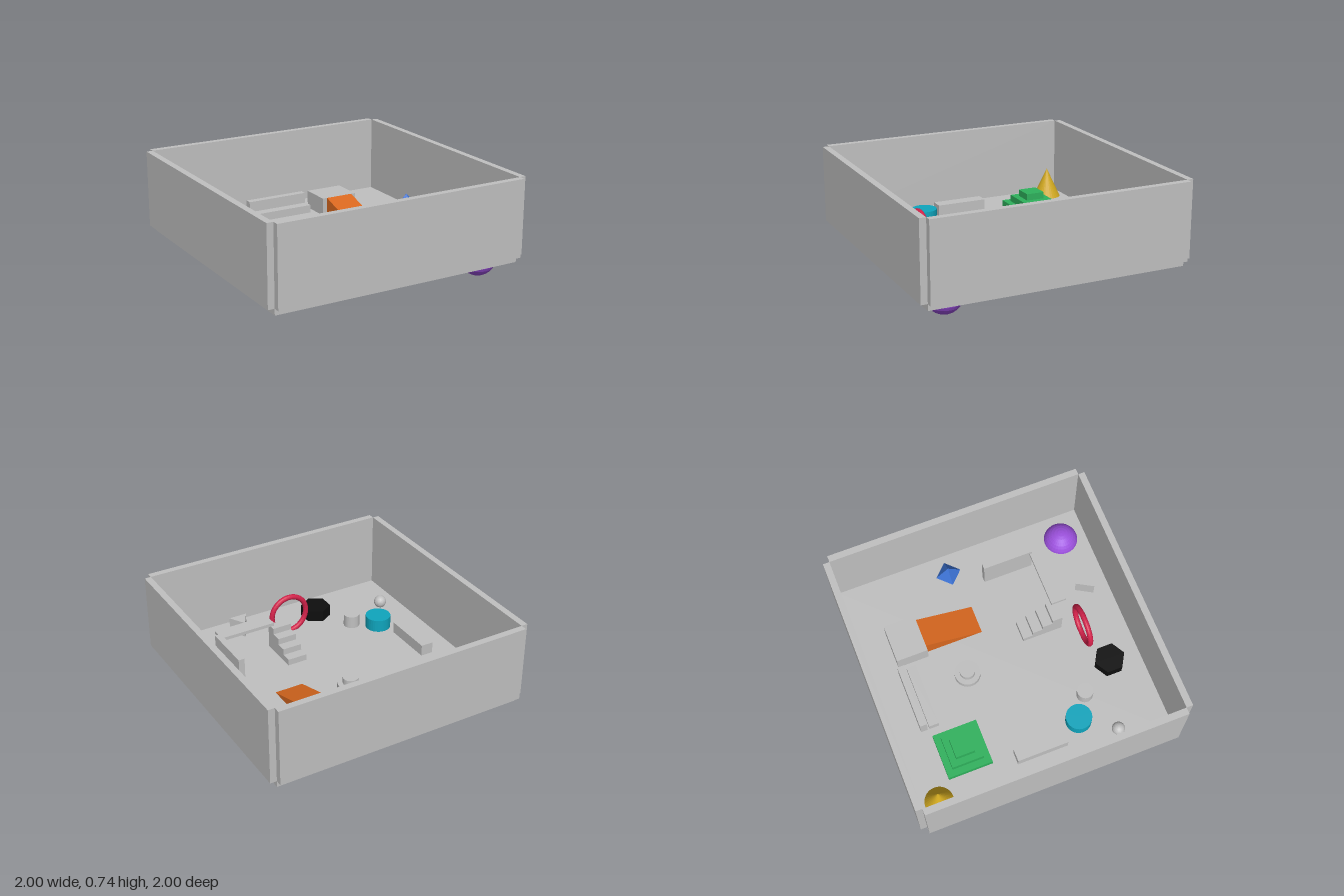
import * as THREE from 'three';

const mat = (name, color, flat = true) => {
  const m = new THREE.MeshStandardMaterial({ color, flatShading: flat });
  m.name = name;
  return m;
};

export function createModel() {
  const group = new THREE.Group();
  const grey = mat('grey', 0xc0c0c0);
  const purple = mat('purple', 0x9b50dc);
  const gold = mat('gold', 0xd0a820);
  const green = mat('green', 0x2eb15c);
  const orange = mat('orange', 0xd9681f);
  const blue = mat('blue', 0x3a70d0);
  const cyan = mat('cyan', 0x0fa5bd);
  const black = mat('black', 0x0e0e0e);
  const red = mat('red', 0xd0224a);
  const FLOOR = 0.165; // floor surface height

  const add = (name, geo, material, x = 0, y = 0, z = 0) => {
    const mesh = new THREE.Mesh(geo, material);
    mesh.name = name;
    mesh.position.set(x, y, z);
    group.add(mesh);
    return mesh;
  };
  // box given by its limits on each axis
  const box = (name, material, x0, x1, y0, y1, z0, z1) =>
    add(name, new THREE.BoxGeometry(x1 - x0, y1 - y0, z1 - z0), material,
      (x0 + x1) / 2, (y0 + y1) / 2, (z0 + z1) / 2);
  // upright prism or cylinder standing at y0
  const column = (name, material, r, y0, y1, x, z, sides = 32) =>
    add(name, new THREE.CylinderGeometry(r, r, y1 - y0, sides), material, x, (y0 + y1) / 2, z);

  // tray: floor and four walls with open corners
  box('floor', grey, -0.952, 0.952, 0.118, FLOOR, -0.952, 0.952);
  for (const s of [-1, 1]) {
    const a = Math.min(s * 0.952, s), b = Math.max(s * 0.952, s);
    box('sideWall', grey, a, b, FLOOR, 0.737, -0.952, 0.952);
    box('endWall', grey, -0.952, 0.952, FLOOR, 0.737, a, b);
  }

  // stepped pyramid
  [0.333, 0.238, 0.143].forEach((w, i) => {
    const y = FLOOR + i * 0.05;
    box('pyramidStep', green, -0.525 - w / 2, -0.525 + w / 2, y, y + 0.05, -0.525 - w / 2, -0.525 + w / 2);
  });

  // bench with back rest, and a low block
  box('benchSeat', grey, -0.288, 0.19, FLOOR, 0.225, -0.69, -0.617);
  box('benchBack', grey, -0.288, 0.19, FLOOR, 0.3, -0.755, -0.703);
  box('lowBlock', grey, -0.765, -0.67, FLOOR, 0.25, -0.193, 0.19);

  // platform with ramp
  box('platform', grey, 0.236, 0.522, FLOOR, 0.3, -0.74, -0.503);
  const wedge = new THREE.Shape([
    new THREE.Vector2(0.07, FLOOR), new THREE.Vector2(0.503, FLOOR), new THREE.Vector2(0.503, 0.3),
  ]);
  const ramp = add('ramp', new THREE.ExtrudeGeometry(wedge, { depth: 0.215, bevelEnabled: false }), orange, 0.488);
  ramp.rotation.y = Math.PI / 2;
  ramp.position.x = 0.273;

  // staircase, bridge and supporting wall
  for (let i = 0; i < 4; i++) {
    const z = 0.188 + i * 0.0762;
    box('stair', grey, 0.092, 0.24, FLOOR, FLOOR + (i + 1) * 0.0476, z, z + 0.0762);
  }
  box('bridge', grey, 0.214, 0.64, 0.355, 0.38, 0.455, 0.57);
  box('bridgeWall', grey, 0.64, 0.686, FLOOR, 0.408, 0.094, 0.473);

  // round and prismatic pieces
  column('pedestalBase', grey, 0.095, FLOOR, 0.213, 0, -0.287);
  column('pedestalTop', grey, 0.056, 0.213, 0.258, 0, -0.287);
  column('cyanDrum', cyan, 0.095, FLOOR, 0.26, -0.62, 0.332);
  column('smallDrum', grey, 0.06, FLOOR, 0.26, -0.455, 0.45);
  column('hexPrism', black, 0.114, FLOOR, 0.25, -0.287, 0.714, 6);
  column('trianglePrism', grey, 0.081, FLOOR, 0.285, 0.332, 0.781, 3).rotation.y = Math.PI;

  add('cone', new THREE.ConeGeometry(0.105, 0.222, 32), gold, -0.81, FLOOR + 0.111, -0.81);
  add('octahedron', new THREE.OctahedronGeometry(0.095), blue, 0.762, FLOOR + 0.095, -0.147);
  add('ball', new THREE.SphereGeometry(0.132, 32, 16), purple, 0.762, 0.132, 0.762);
  add('smallBall', new THREE.SphereGeometry(0.0476, 20, 14), grey, -0.79, 0.208, 0.57);
  add('ring', new THREE.TorusGeometry(0.145, 0.02, 14, 40), red, 0, 0.307, 0.617);

  return group;
}
